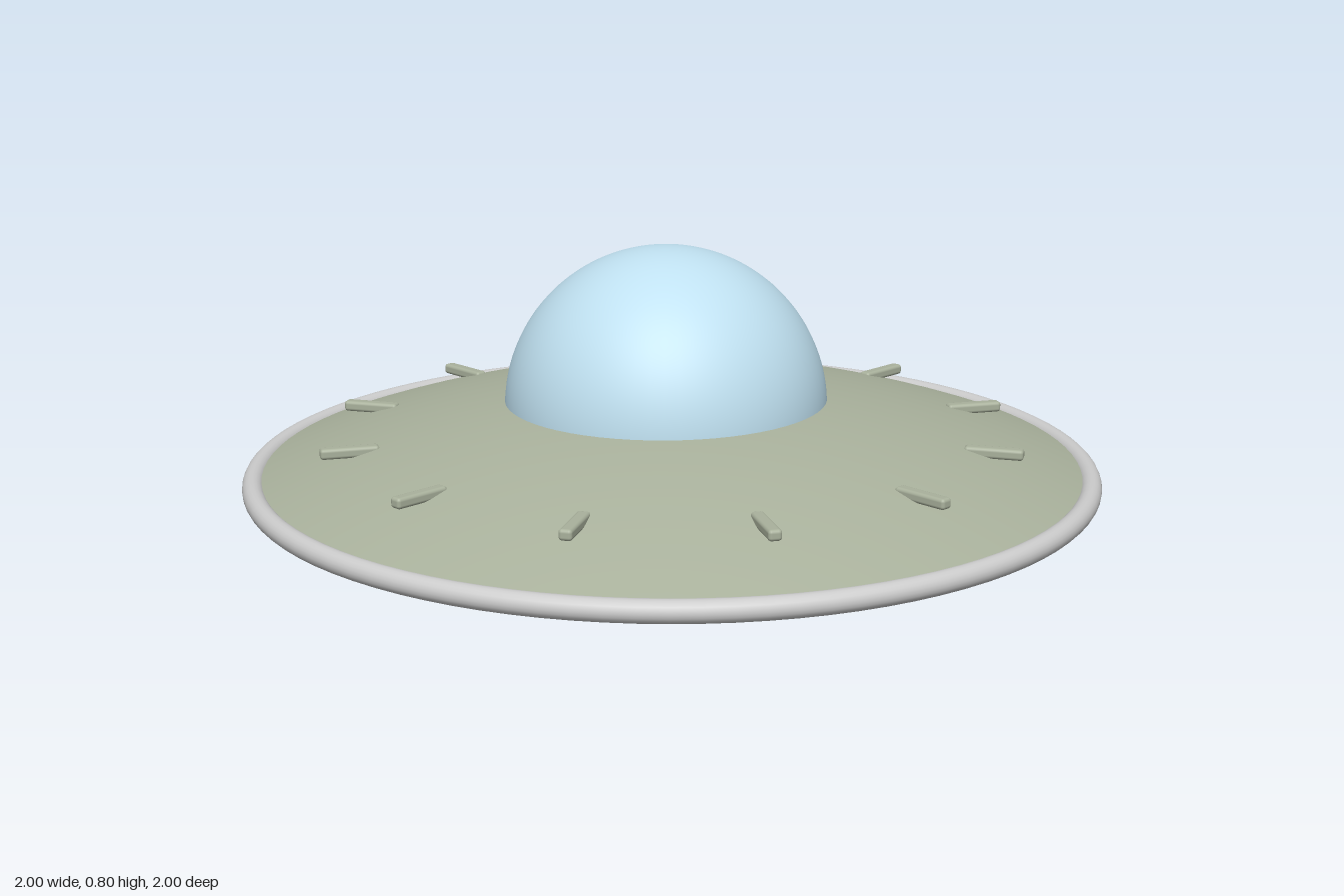
import * as THREE from 'three';
import { RoundedBoxGeometry } from 'three/addons/geometries/RoundedBoxGeometry.js';

const material = (color) => new THREE.MeshStandardMaterial({ color });

export function createModel() {
  const saucer = new THREE.Group();
  saucer.name = 'saucer';
  const grey = material(0xcccccc);
  const green = material(0xa9b19c);
  const dark = material(0x666a62);
  const glass = material(0xbfe0f0);

  const add = (name, geometry, mat, x = 0, y = 0, z = 0, parent = saucer) => {
    const mesh = new THREE.Mesh(geometry, mat);
    mesh.name = name;
    mesh.position.set(x, y, z);
    parent.add(mesh);
    return mesh;
  };

  // Shallow parabolic shell; points run upward so its faces look outward
  const shell = (apex, edge, radius) => {
    const points = [];
    for (let i = 0; i <= 20; i++) {
      const r = (radius * i) / 20;
      points.push(new THREE.Vector2(r, apex + (edge - apex) * (i / 20) ** 2));
    }
    if (apex > edge) points.reverse();
    return new THREE.LatheGeometry(points, 96);
  };
  add('upperHull', shell(0.472, 0.281, 0.98), green);
  add('lowerHull', shell(0.066, 0.261, 0.98), dark);

  // Rings lying flat: outer rim and underside collar
  const ring = (radius, tube) => new THREE.TorusGeometry(radius, tube, 20, 96).rotateX(Math.PI / 2);
  add('rim', ring(0.975, 0.025), grey, 0, 0.275);
  add('bottomRing', ring(0.343, 0.062), grey, 0, 0.086);

  // Flattened lens inside the collar
  const lens = new THREE.SphereGeometry(0.28, 64, 16, 0, Math.PI * 2, Math.PI / 2, Math.PI / 2);
  add('bottomLens', lens.scale(1, 0.078 / 0.28, 1), green, 0, 0.078);

  // Cockpit canopy, set slightly back
  add('canopy', new THREE.SphereGeometry(0.378, 64, 40, 0, Math.PI * 2, 0, Math.PI * 0.55),
    glass, 0, 0.424, -0.02);

  // Twelve radial bars sunk into the upper hull
  const bars = new THREE.Group();
  bars.name = 'hullBars';
  saucer.add(bars);
  const barGeometry = new RoundedBoxGeometry(0.135, 0.025, 0.03, 3, 0.008);
  for (let i = 0; i < 12; i++) {
    const a = (i * Math.PI) / 6;
    const bar = add('hullBar', barGeometry, green, 0.757 * Math.cos(a), 0.37, -0.757 * Math.sin(a), bars);
    bar.rotation.y = a;
  }

  // Antenna behind the canopy on the left
  const antenna = new THREE.Group();
  antenna.name = 'antenna';
  antenna.position.set(0.36, 0, -0.36);
  saucer.add(antenna);
  add('antennaMast', new THREE.CylinderGeometry(0.007, 0.007, 0.235, 12), grey, 0, 0.528, 0, antenna);
  add('antennaTip', new THREE.SphereGeometry(0.023, 20, 14), grey, 0, 0.647, 0, antenna);

  return saucer;
}
